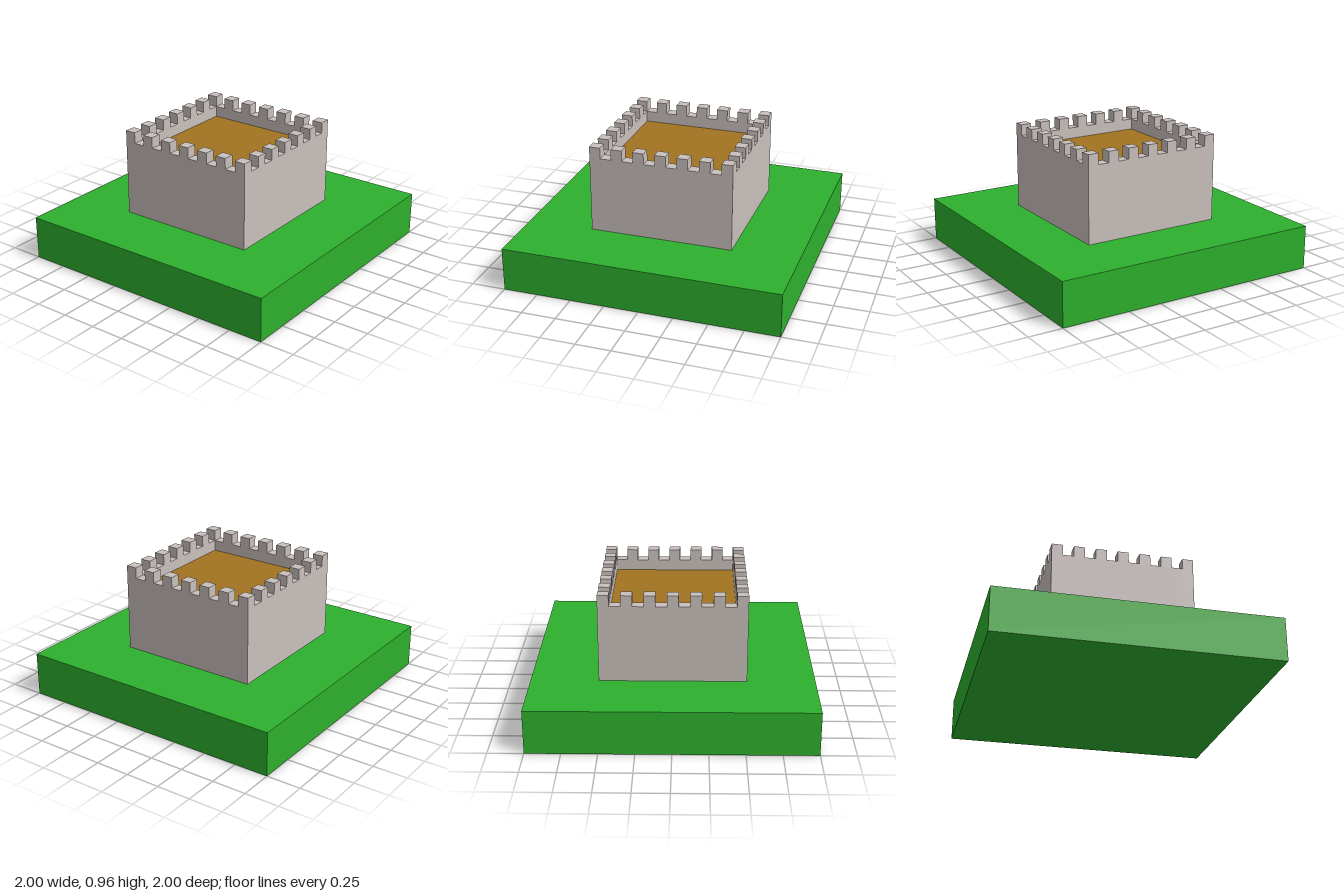
import * as THREE from 'three';

const stone = new THREE.MeshStandardMaterial({ name: 'stone', color: 0xc9c0bd });
const grass = new THREE.MeshStandardMaterial({ name: 'grass', color: 0x2db02d });
const wood = new THREE.MeshStandardMaterial({ name: 'wood', color: 0xa37420 });

const GROUND = 0.32; // top of the grass slab
const WALL_TOP = 0.88; // bottom of the gaps between merlons
const OUTER = 0.52; // half width of the keep
const UNIT = 0.08; // wall thickness and merlon size
const MID = OUTER - UNIT / 2; // centre line of the walls

// Box resting on y = bottom
function block(name, material, w, h, d, x, bottom, z) {
  const mesh = new THREE.Mesh(new THREE.BoxGeometry(w, h, d), material);
  mesh.name = name;
  mesh.position.set(x, bottom + h / 2, z);
  return mesh;
}

// One wall with its merlons; each side owns one corner so nothing overlaps
function battlementWall(name) {
  const wall = new THREE.Group();
  wall.name = name;
  const length = 2 * OUTER - UNIT;
  wall.add(block('wall', stone, length, WALL_TOP - GROUND, UNIT, -UNIT / 2, GROUND, MID));
  for (let i = 0; i < 6; i++) {
    wall.add(block('merlon', stone, UNIT, UNIT, UNIT, -MID + i * 2 * UNIT, WALL_TOP, MID));
  }
  return wall;
}

export function createModel() {
  const model = new THREE.Group();
  model.name = 'castleKeep';

  // Grass slab
  model.add(block('ground', grass, 2, GROUND, 2, 0, 0, 0));

  // Sunken roof deck inside the walls
  const inner = 2 * (OUTER - UNIT);
  model.add(block('roofDeck', wood, inner, 0.8 - GROUND, inner, 0, GROUND, 0));

  // Four walls, turned about the centre
  ['frontWall', 'leftWall', 'backWall', 'rightWall'].forEach((name, i) => {
    const wall = battlementWall(name);
    wall.rotation.y = (i * Math.PI) / 2;
    model.add(wall);
  });

  return model;
}
